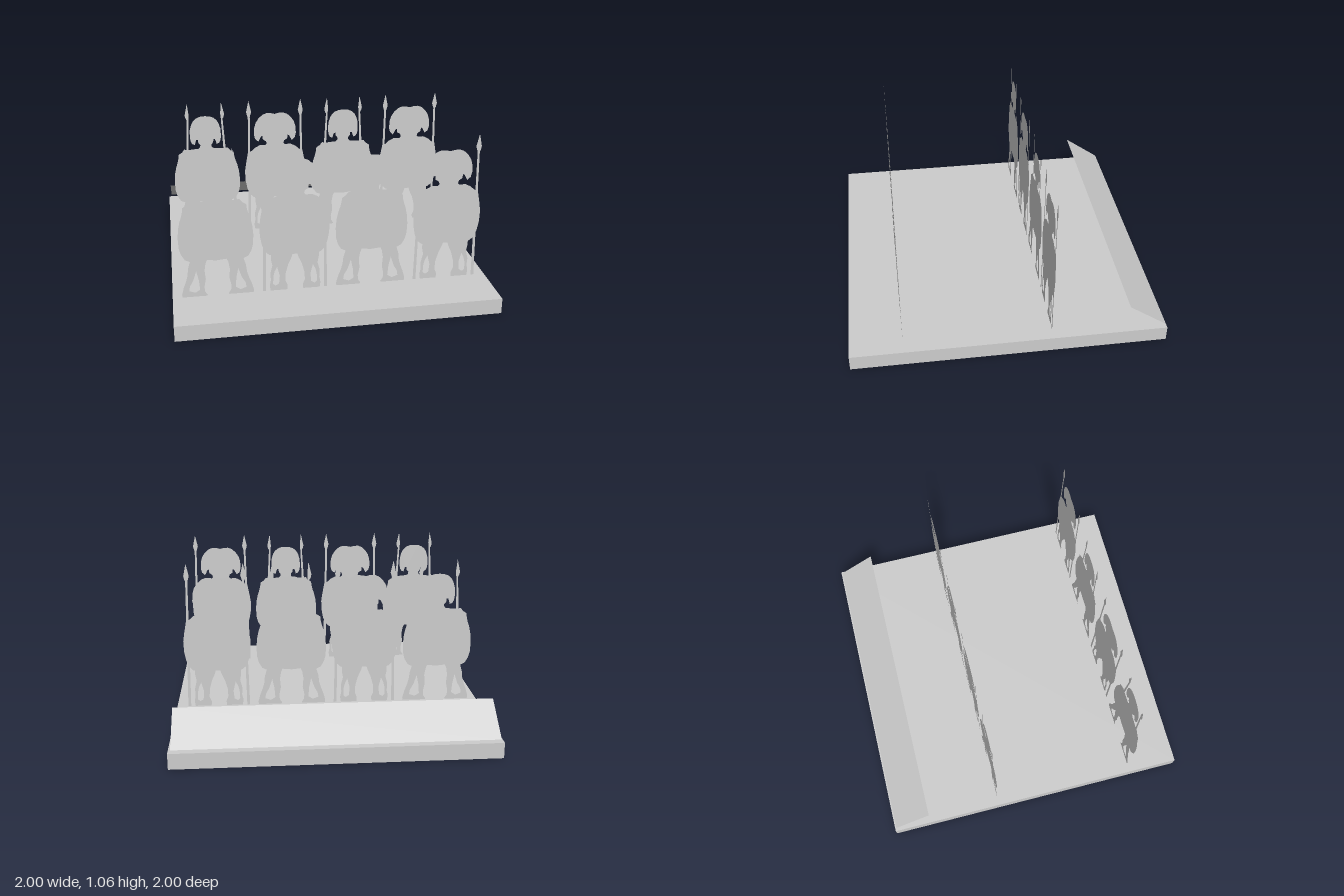
import * as THREE from 'three';

const UNIT = 187; // outline units per model unit; outlines are [distance from centre line, height]

// Narrow-stance soldier: half outlines, from the centre line outwards and back
const NARROW = {
  helmet: [[0, 181.5], [6, 181], [11, 179], [15, 175.5], [17.5, 171], [19.5, 164], [20, 154], [19, 148], [17, 144.5],
    [14, 143.5], [13, 147], [12, 150], [10, 150], [9.5, 146], [7, 143], [7.5, 140], [11, 137], [11, 133], [0, 133]],
  shield: [[0, 138.5], [12, 138], [23, 137], [28, 138], [31, 134], [35.5, 131], [36, 126], [37.5, 120], [39.5, 114],
    [41.5, 105], [42.5, 94], [42, 82], [40, 74], [36, 67], [31, 64.5], [24, 65], [17, 66.5], [10, 65], [0, 64]],
  leg: [[10, 68], [13, 61], [14.5, 52], [13.5, 41], [15.5, 31], [15, 25], [12, 20.5], [13, 19.5], [22, 19.5], [41, 19.5],
    [41.5, 23], [39, 32], [36, 40], [34, 47], [33, 56], [30, 66], [20, 70]],
  gap: [[24, 52], [21.5, 40], [20.5, 28], [26, 24.5], [33, 27], [32, 33], [28, 40]],
  spear: [[21.5, 199], [25, 183.5], [24, 179], [22.8, 177.5], [25.5, 134], [22.5, 134], [20.6, 177.5], [20, 184]],
};

// Wide-stance soldier, its spear reaching the ground
const WIDE = {
  helmet: [[0, 180], [5, 181.3], [11, 181.5], [16, 179.5], [21, 175], [25, 169], [27, 162], [27.5, 153], [26, 147],
    [22, 143.5], [20.5, 146], [18.5, 150], [16.5, 151], [16, 146], [12, 143.5], [11, 140], [13, 138], [13, 133], [0, 133]],
  shield: [[0, 138], [12, 138], [20, 138.5], [27, 135], [31, 131], [36, 129], [37.5, 121], [39, 113], [40.5, 103],
    [40, 90], [38, 79], [35, 71], [30, 66], [24, 64.5], [15, 66.5], [7, 65], [0, 65]],
  leg: [[2, 68], [4, 61], [8, 52], [11, 41], [11.5, 31], [9, 25], [9.5, 19.5], [20, 19.5], [29, 19.5], [30, 26],
    [28.5, 33], [29, 42], [26.5, 52], [28, 60], [28, 68]],
  gap: [[21, 50], [18, 38], [19, 28], [23, 25.5], [26, 28], [25.5, 38], [24, 44]],
  spear: [[33.5, 199], [36.8, 184], [35.6, 179], [34.8, 177.5], [38, 19.5], [34.5, 19.5], [32.2, 177.5], [30.2, 184]],
};

const points = (outline, side) => outline.map(([x, y]) => new THREE.Vector2(side * x / UNIT, y / UNIT));

export function createModel() {
  const model = new THREE.Group();
  const grey = new THREE.MeshStandardMaterial({ color: 0xcccccc, side: THREE.DoubleSide });
  grey.name = 'plain grey';

  const add = (parent, geometry, name) => {
    const mesh = new THREE.Mesh(geometry, grey);
    mesh.name = name;
    parent.add(mesh);
    return mesh;
  };

  // Symmetric flat part from one half outline
  const whole = (outline) =>
    new THREE.ShapeGeometry(new THREE.Shape([...points(outline, 1), ...points(outline, -1).reverse()]));

  // Flat part on one side of the centre line
  const half = (outline, side, gap) => {
    const shape = new THREE.Shape(points(outline, side));
    if (gap) shape.holes.push(new THREE.Path(points(gap, side)));
    return new THREE.ShapeGeometry(shape);
  };

  const makeSoldier = (cut, x, z) => {
    const soldier = new THREE.Group();
    soldier.name = 'soldierCutout';
    add(soldier, whole(cut.helmet), 'helmet');
    add(soldier, whole(cut.shield), 'shield');
    for (const side of [1, -1]) {
      const label = side > 0 ? 'left' : 'right';
      add(soldier, half(cut.leg, side, cut.gap), label + 'Leg');
      add(soldier, half(cut.spear, side), label + 'Spear');
    }
    soldier.position.set(x, 0, z);
    model.add(soldier);
  };

  // Square base
  add(model, new THREE.BoxGeometry(2, 0.1, 2), 'base').position.y = 0.05;

  // Sloping plate along the back edge
  const [depth, rise] = [0.24, 0.17];
  const plate = add(model, new THREE.PlaneGeometry(1.965, Math.hypot(depth, rise)), 'slopingPlate');
  plate.rotation.x = Math.PI / 2 - Math.atan2(rise, depth);
  plate.rotation.x = Math.atan2(depth, rise);
  plate.position.set(0, 0.203, -0.87);

  // Two ranks of four, alternating the two stances
  for (const z of [0.667, -0.272]) {
    for (const x of [-0.72, 0.243]) {
      makeSoldier(NARROW, x, z);
      makeSoldier(WIDE, x + 0.481, z);
    }
  }
  return model;
}
